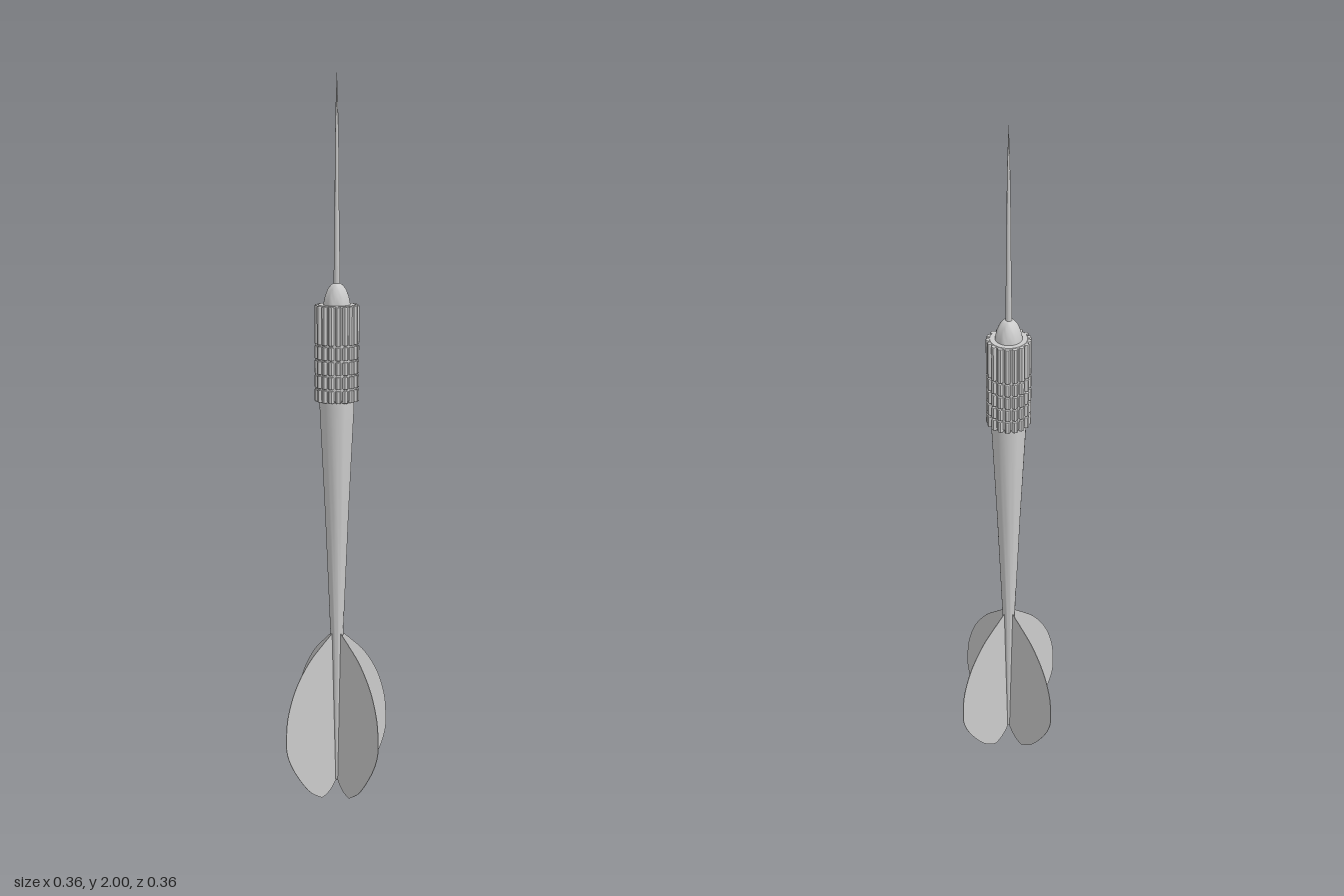
import * as THREE from 'three';
import { toCreasedNormals } from 'three/addons/utils/BufferGeometryUtils.js';

const material = new THREE.MeshStandardMaterial({ color: 0xcccccc });

function addMesh(parent, name, geometry) {
  const mesh = new THREE.Mesh(geometry, material);
  mesh.name = name;
  parent.add(mesh);
  return mesh;
}

// Round part from [radius, height] points, bottom to top
function turned(points, sides = 32) {
  const profile = points.map(([r, y]) => new THREE.Vector2(r, y));
  return toCreasedNormals(new THREE.LatheGeometry(profile, sides), 0.6);
}

// One flight blade in the +x half of the xy plane
function bladeGeometry(thickness) {
  const shape = new THREE.Shape();
  shape.moveTo(0, 0.05);
  shape.quadraticCurveTo(0.022, 0.008, 0.055, 0.001);
  shape.splineThru([[0.1, 0.03], [0.15, 0.095], [0.175, 0.15], [0.178, 0.2], [0.171, 0.26],
    [0.145, 0.33], [0.1, 0.395], [0.05, 0.44], [0.012, 0.47]].map(([x, y]) => new THREE.Vector2(x, y)));
  shape.lineTo(0, 0.472);
  const g = new THREE.ExtrudeGeometry(shape, { depth: thickness, bevelEnabled: false, curveSegments: 24 });
  return g.translate(0, 0, -thickness / 2);
}

// One grip ridge between two heights, standing out along +x
function ridgeGeometry(bottom, top) {
  const bevel = 0.0025;
  const shape = new THREE.Shape();
  shape.moveTo(0.048, -0.0055);
  shape.lineTo(0.0545, -0.005);
  shape.lineTo(0.0578, -0.0025);
  shape.lineTo(0.0578, 0.0025);
  shape.lineTo(0.0545, 0.005);
  shape.lineTo(0.048, 0.0055);
  const g = new THREE.ExtrudeGeometry(shape, {
    depth: top - bottom - 2 * bevel, bevelSize: bevel, bevelThickness: bevel, bevelSegments: 2,
  });
  return g.rotateX(-Math.PI / 2).translate(0, bottom + bevel, 0);
}

export function createModel() {
  const dart = new THREE.Group();
  dart.name = 'dart';

  // Tapered shaft
  addMesh(dart, 'shaft', turned([[0, 0.04], [0.005, 0.045], [0.018, 0.47], [0.032, 0.8], [0.047, 1.1], [0.047, 1.13]]));

  // Barrel core
  addMesh(dart, 'barrel', turned([[0, 1.118], [0.05, 1.118], [0.053, 1.122], [0.053, 1.374], [0.05, 1.377], [0, 1.377]], 48));

  // Grip ridges, cut by ring grooves
  const grip = new THREE.Group();
  grip.name = 'grip';
  dart.add(grip);
  const ridgeCount = 17;
  const bands = [[1.115, 1.149], [1.153, 1.187], [1.191, 1.227], [1.231, 1.267], [1.271, 1.376]];
  for (const [bottom, top] of bands) {
    const geometry = ridgeGeometry(bottom, top);
    for (let i = 0; i < ridgeCount; i++) {
      const ridge = addMesh(grip, 'gripRidge', geometry);
      ridge.rotation.y = Math.PI / 2 - 0.06 + (i * 2 * Math.PI) / ridgeCount;
    }
  }

  // Domed nose
  addMesh(dart, 'nose', turned([[0.037, 1.37], [0.036, 1.382], [0.032, 1.4], [0.025, 1.418], [0.016, 1.43], [0.009, 1.434], [0, 1.434]]));

  // Needle with a fine tip
  addMesh(dart, 'needle', turned([[0.009, 1.42], [0.0085, 1.46], [0.006, 1.66], [0.005, 1.8], [0.0035, 1.9], [0, 2]], 16));

  // Four flights in a cross
  const flights = new THREE.Group();
  flights.name = 'flights';
  dart.add(flights);
  const blade = bladeGeometry(0.002);
  for (let i = 0; i < 4; i++) {
    addMesh(flights, 'flight', blade).rotation.y = (i * Math.PI) / 2;
  }

  return dart;
}
